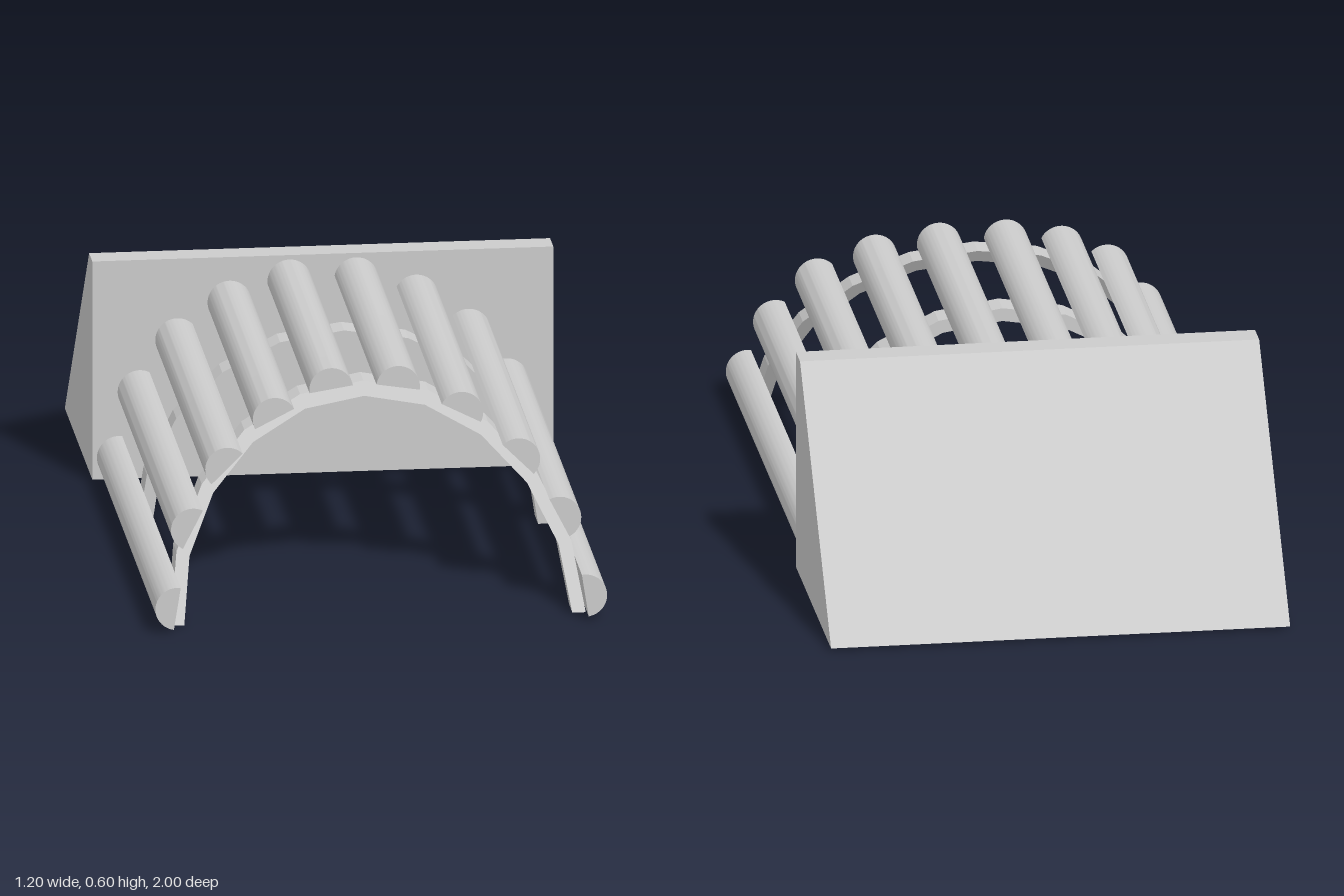
import * as THREE from 'three';
import { toCreasedNormals } from 'three/addons/utils/BufferGeometryUtils.js';

const OUTER = 0.54, INNER = 0.505, SEGMENTS = 10;
const LOG_RADIUS = 0.057, LOG_BACK = -0.36;

const material = new THREE.MeshStandardMaterial({ color: 0xcccccc });

function addMesh(group, name, geometry) {
  const mesh = new THREE.Mesh(geometry, material);
  mesh.name = name;
  group.add(mesh);
  return mesh;
}

function extrude(shape, depth, curveSegments = 12) {
  return new THREE.ExtrudeGeometry(shape, { depth, bevelEnabled: false, curveSegments });
}

// Faceted half-ring rib; lean moves it backwards as it rises
function ribGeometry(z, depth, lean) {
  const points = [];
  const arc = (radius, i) => {
    const a = (i / SEGMENTS) * Math.PI;
    points.push(new THREE.Vector2(radius * Math.cos(a), radius * Math.sin(a)));
  };
  for (let i = 0; i <= SEGMENTS; i++) arc(OUTER, i);
  for (let i = SEGMENTS; i >= 0; i--) arc(INNER, i);
  const geometry = extrude(new THREE.Shape(points), depth);
  geometry.translate(0, 0, z - depth / 2);
  const pos = geometry.attributes.position;
  for (let i = 0; i < pos.count; i++) pos.setZ(i, pos.getZ(i) - lean * pos.getY(i));
  geometry.computeVertexNormals();
  return geometry;
}

// Half-round log, flat side towards the ribs
function logGeometry(length) {
  const shape = new THREE.Shape();
  shape.absarc(0, 0, LOG_RADIUS, -Math.PI / 2, Math.PI / 2, false);
  shape.closePath();
  return toCreasedNormals(extrude(shape, length, 20), Math.PI / 6);
}

export function createModel() {
  const model = new THREE.Group();
  model.name = 'logShelter';

  // Sloping earth bank with a vertical face towards the logs (profile in -z, y)
  const profile = new THREE.Shape([
    new THREE.Vector2(0.36, 0.007),
    new THREE.Vector2(1.0, 0.007),
    new THREE.Vector2(0.435, 0.597),
    new THREE.Vector2(0.36, 0.597),
  ]);
  const bank = extrude(profile, 1.2);
  bank.translate(0, 0, -0.6);
  bank.rotateY(Math.PI / 2);
  addMesh(model, 'earthBank', bank);

  // Upright middle rib and leaning front rib
  addMesh(model, 'middleRib', ribGeometry(0.097, 0.077, 0));
  addMesh(model, 'frontRib', ribGeometry(0.893, 0.075, 0.645));

  // Mirrored logs, shorter towards the crown: [x, y, front z]
  const logs = [
    [0.531, 0.066, 1.0],
    [0.477, 0.242, 0.88],
    [0.379, 0.379, 0.8],
    [0.243, 0.476, 0.69],
    [0.087, 0.528, 0.613],
  ];
  logs.forEach(([x, y, front], i) => {
    const angle = ((i + 0.5) / SEGMENTS) * Math.PI;
    for (const side of [1, -1]) {
      const log = addMesh(model, side > 0 ? 'leftLog' : 'rightLog', logGeometry(front - LOG_BACK));
      log.position.set(side * x, y, LOG_BACK);
      log.rotation.z = side > 0 ? angle : Math.PI - angle;
    }
  });

  return model;
}
